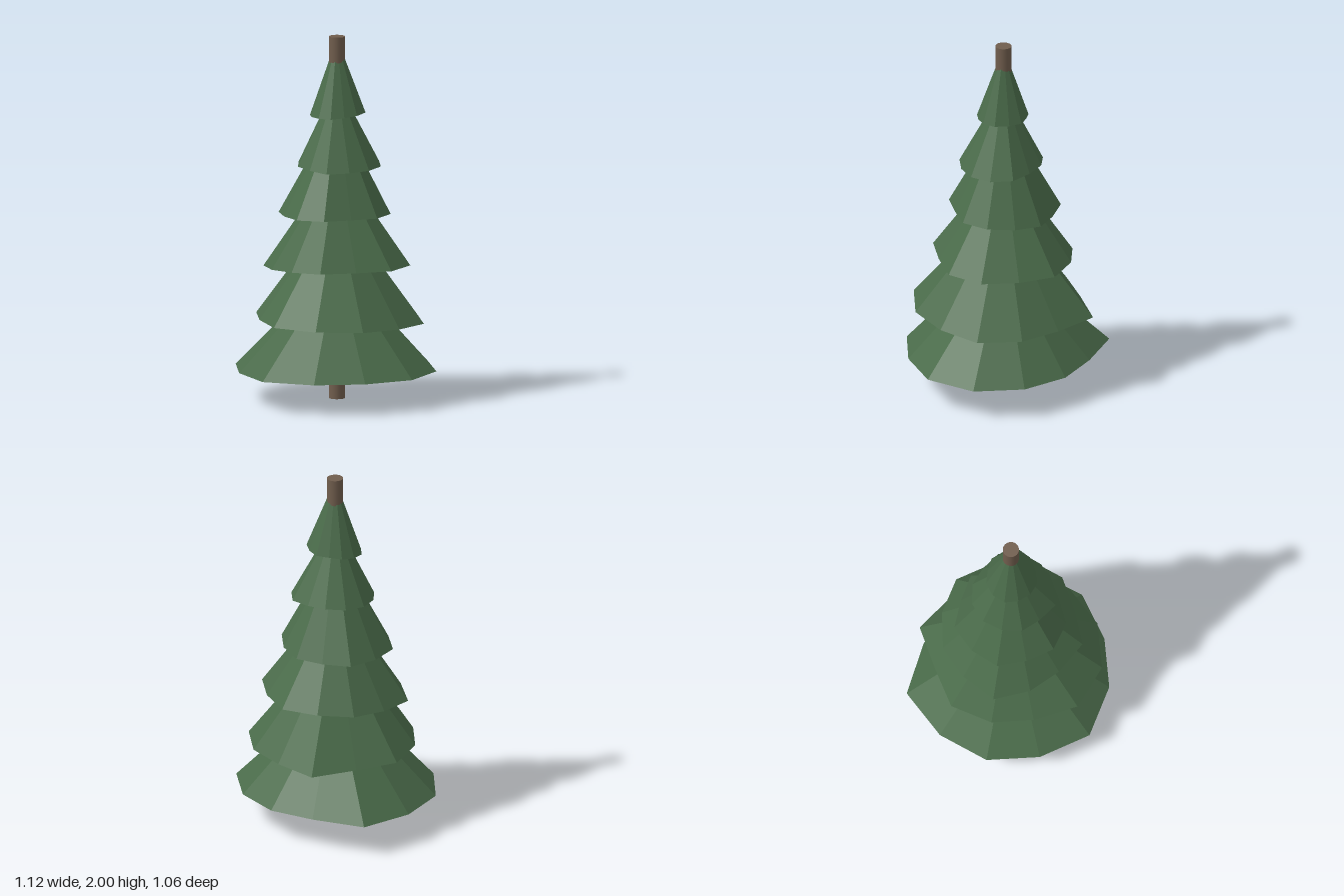
import * as THREE from 'three';

const SIDES = 12;

// One tier: a hand-cut cone with an uneven rim and a closed underside.
// radii run from +x towards +z in 30 degree steps; heights are the rim y at +x, +z, -x, -z.
function tierGeometry({ apex, heights, radii }) {
  const mean = heights.reduce((a, b) => a + b) / 4;
  const rim = radii.map((r, i) => {
    const a = (i / SIDES) * Math.PI * 2;
    const q = i / 3, k = Math.floor(q);
    const y = THREE.MathUtils.lerp(heights[k], heights[(k + 1) % 4], q - k);
    return [r * Math.cos(a), y, r * Math.sin(a)];
  });
  const pos = [];
  for (let i = 0; i < SIDES; i++) {
    const a = rim[i], b = rim[(i + 1) % SIDES];
    pos.push(0, apex, 0, ...b, ...a); // sloping face
    pos.push(0, mean, 0, ...a, ...b); // underside
  }
  const geo = new THREE.BufferGeometry();
  geo.setAttribute('position', new THREE.Float32BufferAttribute(pos, 3));
  geo.computeVertexNormals();
  return geo;
}

const TIERS = [
  { apex: 0.75, heights: [0.17, 0.17, 0.165, 0.175],
    radii: [0.555, 0.56, 0.53, 0.55, 0.59, 0.555, 0.565, 0.56, 0.59, 0.49, 0.495, 0.52] },
  { apex: 1.07, heights: [0.43, 0.455, 0.455, 0.435],
    radii: [0.485, 0.466, 0.49, 0.51, 0.5, 0.44, 0.45, 0.47, 0.43, 0.51, 0.44, 0.46] },
  { apex: 1.32, heights: [0.75, 0.755, 0.715, 0.75],
    radii: [0.41, 0.405, 0.36, 0.4, 0.36, 0.37, 0.41, 0.375, 0.385, 0.385, 0.41, 0.385] },
  { apex: 1.6, heights: [1.03, 1.03, 1.015, 1.01],
    radii: [0.3, 0.3, 0.27, 0.31, 0.32, 0.3, 0.325, 0.31, 0.32, 0.28, 0.3, 0.29] },
  { apex: 1.75, heights: [1.29, 1.28, 1.295, 1.31],
    radii: [0.245, 0.24, 0.235, 0.25, 0.215, 0.22, 0.215, 0.22, 0.22, 0.215, 0.21, 0.24] },
  { apex: 1.99, heights: [1.585, 1.565, 1.56, 1.58],
    radii: [0.16, 0.15, 0.14, 0.15, 0.145, 0.145, 0.15, 0.145, 0.14, 0.13, 0.145, 0.145] },
];

export function createModel() {
  const needles = new THREE.MeshStandardMaterial({ color: 0x4a6b4a });
  needles.name = 'needleGreen';
  needles.flatShading = true;
  const bark = new THREE.MeshStandardMaterial({ color: 0x705d4d });
  bark.name = 'barkBrown';

  const tree = new THREE.Group();
  tree.name = 'pineTree';

  // Trunk runs the whole height and shows at both ends
  const trunk = new THREE.Mesh(new THREE.CylinderGeometry(0.044, 0.044, 2, 24), bark);
  trunk.name = 'trunk';
  trunk.position.set(0, 1, -0.015);
  tree.add(trunk);

  // Branch tiers, bottom to top
  TIERS.forEach((tier, i) => {
    const mesh = new THREE.Mesh(tierGeometry(tier), needles);
    mesh.name = `branchTier${i + 1}`;
    mesh.position.z = -0.015;
    tree.add(mesh);
  });
  return tree;
}
